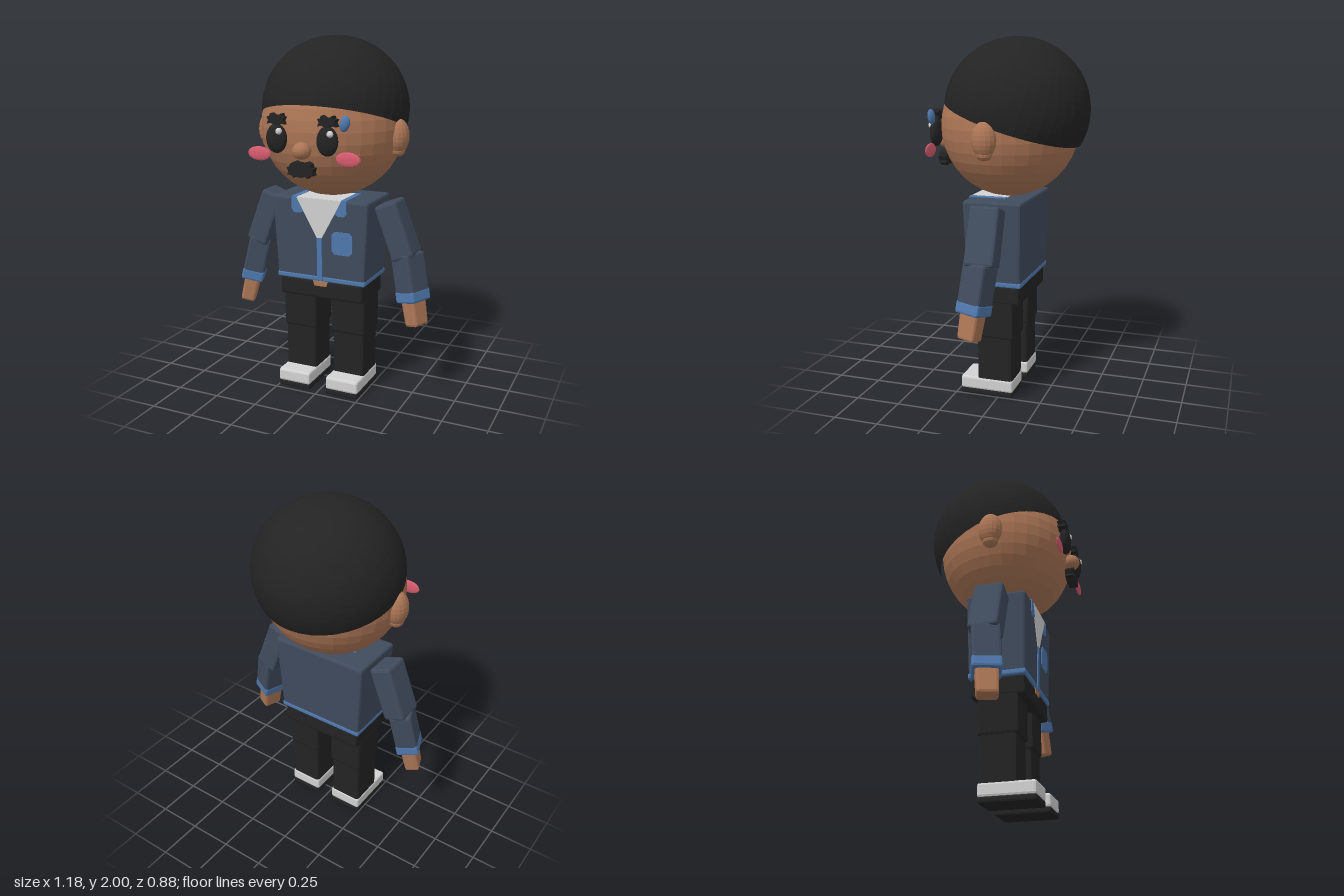
import * as THREE from 'three';
import { RoundedBoxGeometry } from 'three/addons/geometries/RoundedBoxGeometry.js';

const mat = (name, color) => {
  const m = new THREE.MeshStandardMaterial({ color });
  m.name = name;
  return m;
};

export function createModel() {
  const root = new THREE.Group();
  root.name = 'figure';
  const skin = mat('skin', 0xac7656);
  const black = mat('black', 0x232323);
  const navy = mat('jacket navy', 0x404b5d);
  const blue = mat('trim blue', 0x4f78ad);
  const white = mat('off white', 0xd2d2d2);
  const pink = mat('cheek pink', 0xd85c70);

  const add = (name, geo, material, parent = root) => {
    const m = new THREE.Mesh(geo, material);
    m.name = name;
    parent.add(m);
    return m;
  };
  // faceted normals
  const flat = (geo) => {
    const g = geo.index ? geo.toNonIndexed() : geo;
    g.computeVertexNormals();
    return g;
  };
  // chamfered box; top size multiplied by tx, tz
  const box = (w, h, d, r = 0.014, tx = 1, tz = 1) => {
    const g = new RoundedBoxGeometry(w, h, d, 1, r);
    const p = g.attributes.position;
    for (let i = 0; i < p.count; i++) {
      const t = p.getY(i) / h + 0.5;
      p.setX(i, p.getX(i) * (1 + (tx - 1) * t));
      p.setZ(i, p.getZ(i) * (1 + (tz - 1) * t));
    }
    return flat(g);
  };
  const block = (name, material, [x0, x1], [y0, y1], [z0, z1], r) => {
    const m = add(name, box(x1 - x0, y1 - y0, z1 - z0, r), material);
    m.position.set((x0 + x1) / 2, (y0 + y1) / 2, (z0 + z1) / 2);
    return m;
  };
  const ellipsoid = (name, material, pos, radii, w = 16, h = 12) => {
    const m = add(name, flat(new THREE.SphereGeometry(1, w, h).scale(...radii)), material);
    m.position.set(...pos);
    return m;
  };
  const poly = (pts) => new THREE.Shape(pts.map(([x, y]) => new THREE.Vector2(x, y)));
  const slab = (shape, depth) => new THREE.ExtrudeGeometry(shape, { depth, bevelEnabled: false });
  // shape mirrored about x = 0 from its right half, listed top to bottom
  const mirrored = (pts) => poly([...pts, ...pts.map(([x, y]) => [-x, y]).reverse()]);

  // head and cap of hair
  ellipsoid('head', skin, [0, 1.515, 0.003], [0.4, 0.39, 0.382], 32, 20);
  const hair = add('hair',
    flat(new THREE.SphereGeometry(0.4, 40, 20, 0, Math.PI * 2, 0, 1.77)
      .rotateX(-0.32).scale(1.025, 0.985, 1.01)), black);
  hair.position.set(0, 1.606, -0.037);

  // face
  for (const s of [-1, 1]) {
    const side = s > 0 ? 'left' : 'right';
    ellipsoid(side + 'Ear', skin, [s * 0.392, 1.475, 0.02], [0.058, 0.095, 0.068]);
    ellipsoid(side + 'EarLobe', skin, [s * 0.39, 1.4, 0.02], [0.04, 0.035, 0.045], 12, 8);
    ellipsoid(side + 'Eye', black, [s * 0.145, 1.48, 0.388], [0.06, 0.077, 0.032]);
    ellipsoid(side + 'EyeHighlight', white, [s * 0.145 + 0.024, 1.52, 0.408], [0.018, 0.018, 0.016], 10, 8);
    ellipsoid(side + 'Cheek', pink, [s * 0.255, 1.393, 0.378], [0.068, 0.038, 0.011]);
    const brow = add(side + 'Eyebrow', slab(mirrored([
      [0.012, 0.018], [0.03, 0.03], [0.036, 0.014], [0.052, 0.012], [0.042, -0.006],
      [0.052, -0.026], [0.028, -0.02], [0.01, -0.03]]), 0.045), black);
    brow.position.set(s * 0.145, 1.58, 0.355);
  }
  ellipsoid('nose', skin, [0, 1.423, 0.388], [0.05, 0.045, 0.05]);
  const moustache = add('moustache', slab(mirrored([
    [0.01, 0.034], [0.035, 0.042], [0.058, 0.03], [0.062, 0.012], [0.077, 0.01],
    [0.068, -0.012], [0.075, -0.028], [0.05, -0.03], [0.04, -0.044], [0.024, -0.032],
    [0.01, -0.04]]), 0.045), black);
  moustache.position.set(0, 1.327, 0.365);
  const drop = ellipsoid('sweatDrop', blue, [0.236, 1.572, 0.378], [0.027, 0.042, 0.02]);
  drop.rotation.z = -0.25;

  // jacket body with hem
  const torso = add('jacketBody', box(0.53, 0.465, 0.31, 0.014, 1.095, 1.08), navy);
  torso.position.set(0, 0.8975, 0.02);
  block('jacketHem', blue, [-0.268, 0.268], [0.655, 0.686], [-0.138, 0.178], 0.008);

  // thin details lying on the sloping jacket front (coordinates start at y = 0.66)
  const front = new THREE.Group();
  front.name = 'jacketFront';
  front.position.set(0, 0.66, 0.175);
  front.rotation.x = 0.026;
  root.add(front);
  add('shirtV', slab(poly([[-0.135, 0.47], [-0.015, 0.25], [0.015, 0.25], [0.135, 0.47]]), 0.005), white, front);
  add('placket', slab(poly([[-0.015, 0], [0.015, 0], [0.015, 0.25], [-0.015, 0.25]]), 0.006), blue, front);
  for (const s of [-1, 1]) {
    const pts = [[0.165, 0.47], [0.135, 0.47], [0.094, 0.393], [0.115, 0.383], [0.15, 0.383], [0.165, 0.4]];
    add('collar', slab(poly(pts.map(([x, y]) => [s * x, y])), 0.006), blue, front);
  }
  const a = 0.075, b = 0.197, c = 0.165, d = 0.295, k = 0.018;
  add('pocket', slab(poly([[a + k, c], [b - k, c], [b, c + k], [b, d - k], [b - k, d],
    [a + k, d], [a, d - k], [a, c + k]]), 0.006), blue, front);
  block('neckOpening', white, [-0.133, 0.133], [1.127, 1.134], [-0.02, 0.19], 0.002);
  for (const s of [-1, 1]) {
    const x = s * 0.149;
    block('collarTop', blue, [x - 0.016, x + 0.016], [1.127, 1.135], [-0.02, 0.191], 0.002);
  }

  // hips
  block('hips', black, [-0.252, 0.252], [0.55, 0.66], [-0.125, 0.17]);
  add('buckle', slab(poly([[-0.045, 0.655], [-0.037, 0.626], [0.037, 0.626], [0.045, 0.655]]), 0.008), skin)
    .position.z = 0.167;

  for (const s of [-1, 1]) {
    const side = s > 0 ? 'left' : 'right';
    const span = (p, q) => (s > 0 ? [p, q] : [-q, -p]);
    // leg and shoe
    block(side + 'Thigh', black, span(0.047, 0.251), [0.345, 0.57], [-0.09, 0.132]);
    block(side + 'Shin', black, span(0.055, 0.243), [0.08, 0.36], [-0.081, 0.122]);
    block(side + 'Shoe', white, span(0.05, 0.247), [0.03, 0.103], [-0.085, 0.222], 0.012);
    block(side + 'Sole', black, span(0.051, 0.246), [0, 0.034], [-0.084, 0.221], 0.01);

    // arm
    const upper = add(side + 'UpperArm', box(0.13, 0.32, 0.165, 0.016), navy);
    upper.position.set(s * 0.4, 0.963, 0.017);
    upper.rotation.z = s * 0.36;

    const fore = new THREE.Group();
    fore.name = side + 'Forearm';
    fore.position.set(s * 0.482, 0.705, 0.032);
    fore.rotation.set(-0.1, -s * 0.36, s * 0.2, 'ZXY');
    root.add(fore);
    add('sleeve', box(0.125, 0.27, 0.15, 0.014), navy, fore);
    add('cuff', box(0.128, 0.068, 0.153, 0.012), blue, fore).position.y = -0.102;
    add('hand', box(0.082, 0.17, 0.11, 0.014, 1.1, 1.1), skin, fore).position.set(0, -0.187, 0);
  }
  return root;
}
